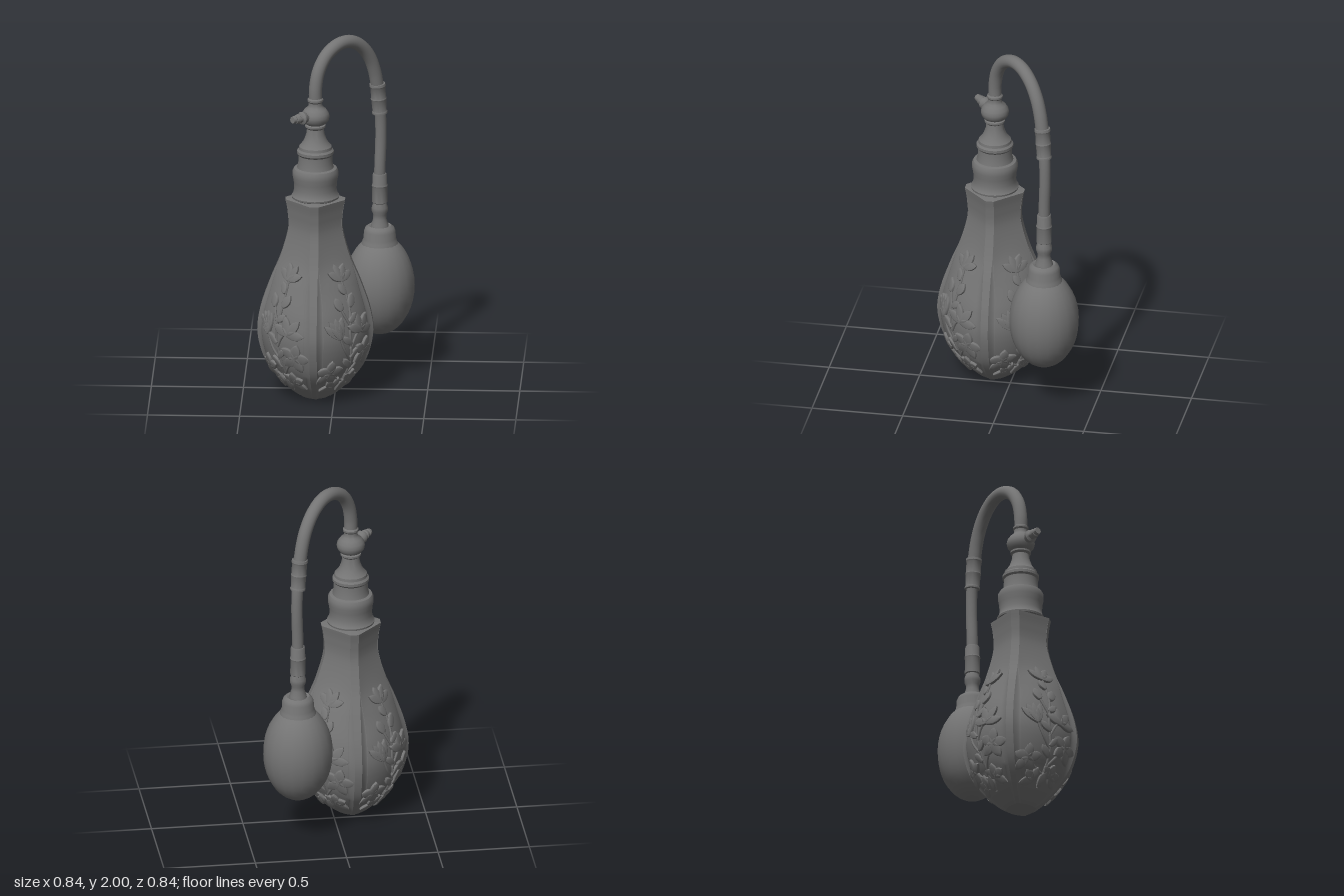
import * as THREE from 'three';
import { mergeGeometries, toCreasedNormals } from 'three/addons/utils/BufferGeometryUtils.js';
import { ParametricGeometry } from 'three/addons/geometries/ParametricGeometry.js';

const material = new THREE.MeshStandardMaterial({ color: 0x747474, side: THREE.DoubleSide });
const { lerp, smoothstep } = THREE.MathUtils;
const V2 = (p) => new THREE.Vector2(p[0], p[1]);
const BOTTLE = -0.105, BULB = 0.23, TOP = 1.12;

function add(parent, name, geometry) {
  const mesh = new THREE.Mesh(geometry, material);
  mesh.name = name;
  parent.add(mesh);
  return mesh;
}

// Turned part from [radius, height] pairs, with crisp steps
function turned(parent, name, profile, segments = 32) {
  return add(parent, name, toCreasedNormals(new THREE.LatheGeometry(profile.map(V2), segments), 0.6));
}

// Point in the diagonal plane shared by bottle, hose and bulb
const diagonal = ([t, y]) => new THREE.Vector3(t, y, -t);

function hose(parent, name, points, radius, steps) {
  const curve = new THREE.CatmullRomCurve3(points.map(diagonal));
  return add(parent, name, new THREE.TubeGeometry(curve, steps, radius, 18));
}

// Rib radius of the bottle by height
const silhouette = new THREE.SplineCurve([[0.084, 0], [0.122, 0.025], [0.2, 0.1], [0.275, 0.21], [0.314, 0.36],
  [0.298, 0.5], [0.245, 0.66], [0.188, 0.8], [0.148, 0.95], [0.15, 1.05], [0.162, TOP]].map(V2)).getPoints(200);
function ribRadius(y) {
  let i = 1;
  while (i < 200 && silhouette[i].y < y) i++;
  const a = silhouette[i - 1], b = silhouette[i];
  return lerp(a.x, b.x, (y - a.y) / (b.y - a.y));
}

// 0 where the section is a flat-sided octagon (neck), 1 where it is round (belly and foot)
const roundness = (y) => Math.max(smoothstep(ribRadius(y), 0.16, 0.29), 1 - smoothstep(y, 0.1, 0.3));

// Panel radius at angle d from the panel middle
function panelRadius(d, y) {
  return ribRadius(y) * lerp(0.805 / Math.cos(d), 0.895 + 0.1 * d * d, roundness(y));
}
function section(y) {
  const R = ribRadius(y), k = roundness(y), w = lerp(0.023, 0.02, k) * lerp(0.55, 1, smoothstep(y, 0, 0.25));
  const start = Math.atan(w / R) + 0.125 * k;
  const r = panelRadius(Math.PI / 4 - start, y);
  return { R, w, start, ex: r * Math.sin(start), ez: r * Math.cos(start) };
}

// Strips of one bottle quarter: [x, z] from u across the strip at height y
const strips = {
  rib: (u, y) => { const s = section(y); return [lerp(-s.w, s.w, u), s.R]; },
  flankLeft: (u, y) => { const s = section(y); return [lerp(s.w, s.ex, u), lerp(s.ez, s.R, (1 - u) ** 1.5)]; },
  flankRight: (u, y) => { const s = section(y); return [lerp(-s.ex, -s.w, u), lerp(s.ez, s.R, u ** 1.5)]; },
  panel: (u, y) => {
    const s = section(y), a = lerp(s.start, Math.PI / 2 - s.start, u), r = panelRadius(a - Math.PI / 4, y);
    return [r * Math.sin(a), r * Math.cos(a)];
  },
};

function buildBottle() {
  const bottle = new THREE.Group();
  bottle.name = 'bottle';
  for (let q = 0; q < 4; q++) {
    for (const [name, f] of Object.entries(strips)) {
      const n = name === 'panel' ? 14 : 4;
      const parts = {
        [name]: new ParametricGeometry((u, v, p) => { const [x, z] = f(u, v * TOP); p.set(x, v * TOP, z); }, n, 56),
        // Slightly hollow foot and sloping shoulder
        foot: new ParametricGeometry((u, v, p) => {
          const [x, z] = f(u, 0);
          p.set(x * (1 - v), v > 0.3 ? 0.014 : 0, z * (1 - v));
        }, n, 6),
        shoulder: new ParametricGeometry((u, v, p) => {
          const [x, z] = f(u, TOP), k = 1 - 0.5 * v;
          p.set(x * k, TOP + 0.012 * v, z * k);
        }, n, 2),
      };
      for (const [part, g] of Object.entries(parts)) add(bottle, part, g).rotation.y = q * Math.PI / 2;
    }
  }
  return bottle;
}

// Wraps flat relief (u across, v up, h out) on to the panel facing +z
function wrap(u, v, h) {
  const y = Math.max(v, 0.02), a = u / panelRadius(0, y);
  const slope = (ribRadius(y + 0.01) - ribRadius(y - 0.01)) / 0.02, l = Math.hypot(1, slope);
  const r = panelRadius(a, y) + h / l;
  return new THREE.Vector3(r * Math.sin(a), y - h * slope / l, r * Math.cos(a));
}

// Pointed petal or leaf starting at (u, v), leaning by angle from upright
function petal(u, v, length, width, angle) {
  const s = new THREE.Shape();
  s.moveTo(-width * 0.15, 0);
  s.quadraticCurveTo(-width * 0.75, length * 0.6, 0, length);
  s.quadraticCurveTo(width * 0.75, length * 0.6, width * 0.15, 0);
  s.closePath();
  const g = new THREE.ExtrudeGeometry(s, { depth: 0.014, curveSegments: 6, bevelThickness: 0.005, bevelSize: 0.004, bevelSegments: 2 });
  g.rotateZ(-angle);
  const p = g.attributes.position;
  for (let i = 0; i < p.count; i++) {
    const w = wrap(u + p.getX(i), v + p.getY(i), p.getZ(i) - 0.005);
    p.setXYZ(i, w.x, w.y, w.z);
  }
  return toCreasedNormals(g, 0.8);
}

function stem(points) {
  const curve = new THREE.CatmullRomCurve3(points.map(([u, v]) => wrap(u, v, 0.004)));
  return new THREE.TubeGeometry(curve, 14, 0.007, 6).toNonIndexed();
}

function buildSpray() {
  const parts = [
    [[0, 0.07], [0.015, 0.25], [-0.005, 0.42], [0.015, 0.55], [0.005, 0.71]],
    [[0.01, 0.26], [-0.04, 0.33], [-0.075, 0.41]],
    [[0, 0.33], [0.04, 0.4], [0.08, 0.44]],
    [[0.01, 0.17], [0.05, 0.22], [0.1, 0.28]],
    [[0.01, 0.13], [-0.05, 0.16], [-0.1, 0.2]],
    [[0, 0.46], [-0.03, 0.52], [-0.045, 0.56]],
  ].map(stem);
  // Flowers: u, v, petal length, petal width, petal count, middle angle, spread
  const flowers = [
    [0.005, 0.7, 0.08, 0.042, 4, 0.1, 2.2],
    [-0.07, 0.4, 0.11, 0.042, 4, -0.35, 1],
    [0.075, 0.42, 0.095, 0.05, 4, 0.2, 2.8],
    [0.11, 0.29, 0.08, 0.055, 5, 0.3, 5.03],
    [-0.105, 0.2, 0.07, 0.05, 5, 0, 5.03],
    [0.05, 0.13, 0.06, 0.045, 4, 0.7, 3],
    [-0.045, 0.1, 0.06, 0.04, 3, -0.8, 2],
  ];
  for (const [u, v, length, width, count, middle, spread] of flowers)
    for (let i = 0; i < count; i++)
      parts.push(petal(u, v, length, width, middle + spread * (i / (count - 1) - 0.5)));
  // Buds and leaves: u, v, length, width, angle
  const leaves = [
    [-0.045, 0.55, 0.065, 0.05, -0.3], [0.02, 0.56, 0.065, 0.05, 0.45], [0.005, 0.63, 0.055, 0.04, -0.5],
    [0, 0.48, 0.06, 0.035, 0.9], [0, 0.36, 0.07, 0.035, -0.9], [0.01, 0.22, 0.07, 0.035, -0.7],
    [0.01, 0.28, 0.06, 0.03, 0.7], [0, 0.08, 0.07, 0.04, 0.25],
  ];
  for (const leaf of leaves) parts.push(petal(...leaf));
  return mergeGeometries(parts);
}

export function createModel() {
  const model = new THREE.Group();
  model.name = 'atomizerBottle';

  const body = new THREE.Group();
  body.name = 'bottleAssembly';
  body.position.set(BOTTLE, 0, -BOTTLE);
  model.add(body);
  body.add(buildBottle());
  const spray = buildSpray();
  for (let i = 0; i < 4; i++) add(body, 'floralRelief', spray).rotation.y = Math.PI / 4 + i * Math.PI / 2;

  // Stepped collar, neck and ball joint
  turned(body, 'collar', [[0.1, 1.115], [0.128, 1.13], [0.13, 1.14], [0.122, 1.15], [0.115, 1.18], [0.118, 1.22],
    [0.124, 1.25], [0.124, 1.28], [0.116, 1.295], [0.1, 1.3], [0.093, 1.33], [0.092, 1.37], [0.1, 1.38], [0.1, 1.395],
    [0.09, 1.405], [0.088, 1.42], [0.078, 1.43], [0.062, 1.455], [0.05, 1.49], [0.046, 1.52], [0.056, 1.53], [0.056, 1.54], [0.04, 1.545]]);
  turned(body, 'ballJoint', [[0.038, 1.54], [0.06, 1.552], [0.073, 1.57], [0.077, 1.59], [0.072, 1.61], [0.058, 1.63],
    [0.042, 1.643], [0.037, 1.655], [0.037, 1.668], [0.043, 1.676], [0.043, 1.686], [0.035, 1.694]]);

  // Barbed spray nozzle pointing away from the bulb
  const nozzle = turned(body, 'nozzle', [[0.03, 0.05], [0.027, 0.075], [0.034, 0.085], [0.036, 0.1], [0.024, 0.108], [0.022, 0.122],
    [0.027, 0.128], [0.022, 0.146], [0.017, 0.148], [0.022, 0.154], [0.018, 0.17], [0, 0.17]], 16);
  nozzle.position.y = 1.592;
  nozzle.quaternion.setFromUnitVectors(new THREE.Vector3(0, 1, 0), new THREE.Vector3(-1, 0.1, 1).normalize());

  // Arched upper pipe and thinner hanging hose
  hose(model, 'archedPipe', [[BOTTLE, 1.66], [-0.104, 1.75], [-0.088, 1.84], [-0.05, 1.915], [0, 1.955], [0.045, 1.965],
    [0.09, 1.952], [0.14, 1.905], [0.18, 1.83], [0.203, 1.75], [0.218, 1.66]], 0.036, 48);
  hose(model, 'hangingHose', [[0.223, 1.58], [0.234, 1.48], [0.236, 1.35], [0.231, 1.2], [BULB, 1.1]], 0.031, 20);

  const sleeve = turned(model, 'upperSleeve', [[0.03, 0.085], [0.043, 0.083], [0.045, 0.07], [0.041, 0.062], [0.041, 0.002],
    [0.044, -0.004], [0.041, -0.012], [0.039, -0.075], [0.042, -0.08], [0.042, -0.09], [0.028, -0.092]].reverse(), 18);
  sleeve.position.copy(diagonal([0.224, 1.592]));
  sleeve.quaternion.setFromUnitVectors(new THREE.Vector3(0, 1, 0), diagonal([-0.013, 0.18]).normalize());

  // Lower sleeve, bulb collar and squeeze bulb
  const pump = new THREE.Group();
  pump.name = 'squeezePump';
  pump.position.copy(diagonal([BULB, 0]));
  model.add(pump);
  turned(pump, 'lowerSleeve', [[0.05, 0.85], [0.046, 0.87], [0.036, 0.9], [0.036, 0.925], [0.044, 0.945], [0.044, 0.965],
    [0.036, 0.99], [0.042, 0.995], [0.041, 1.08], [0.044, 1.09], [0.04, 1.1], [0.039, 1.15], [0.036, 1.158], [0.029, 1.158]], 18);
  turned(pump, 'bulbCollar', [[0.1, 0.755], [0.094, 0.775], [0.088, 0.79], [0.086, 0.83], [0.078, 0.85], [0.062, 0.862],
    [0.05, 0.858], [0.036, 0.85]], 24);
  const bulb = add(pump, 'bulb', new THREE.SphereGeometry(1, 20, 20));
  bulb.scale.set(0.19, 0.278, 0.19);
  bulb.position.y = 0.523;
  return model;
}
